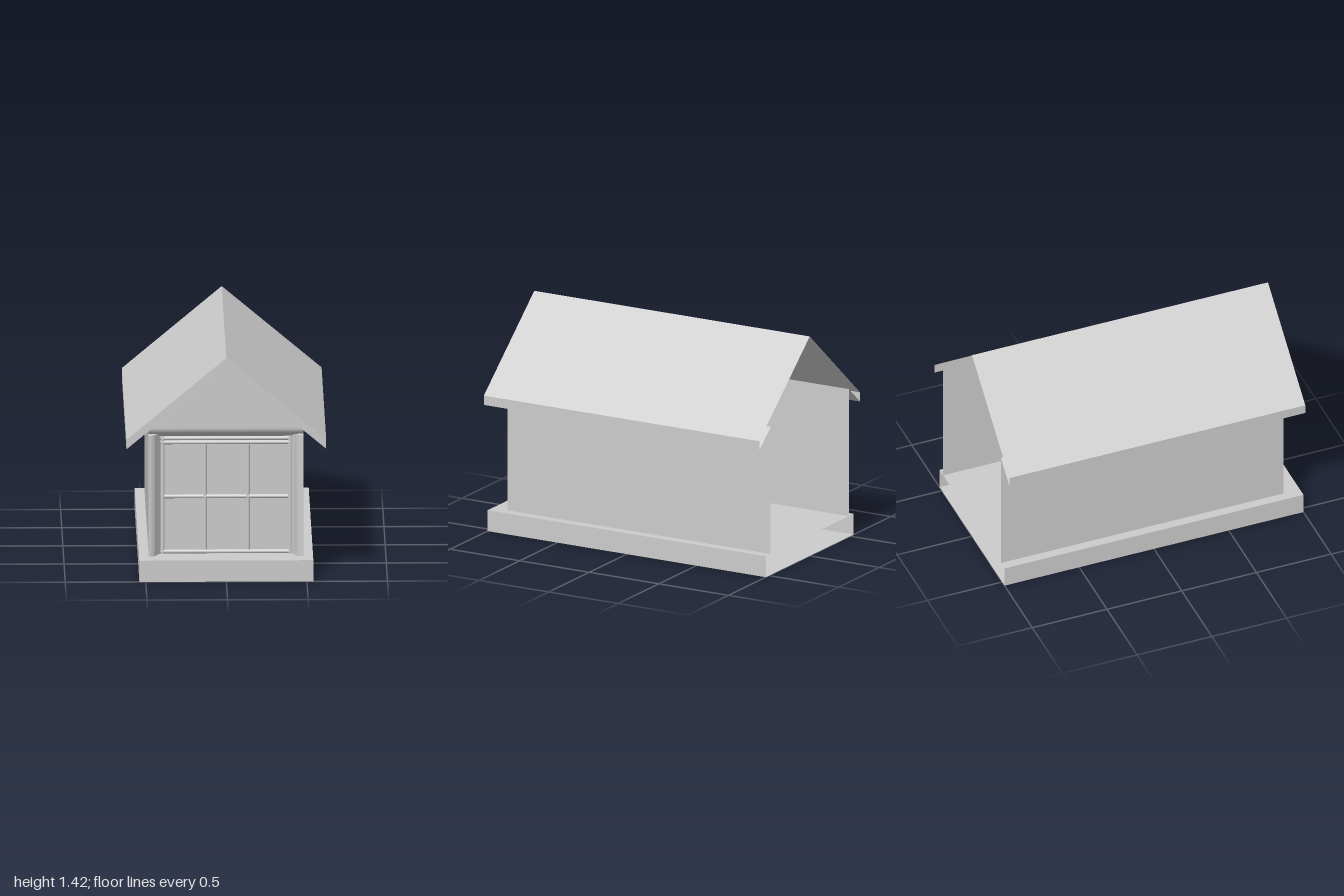
import * as THREE from 'three';

const BACK = -1, WALL = 0.89, ROOF = 0.98, RECESS = 0.84, PANE = 0.8;
const mat = new THREE.MeshStandardMaterial({ color: 0xcccccc, side: THREE.DoubleSide });

export function createModel() {
  const model = new THREE.Group();
  model.name = 'dormer';

  const add = (name, geometry, x = 0, y = 0, z = 0, parent = model) => {
    const mesh = new THREE.Mesh(geometry, mat);
    mesh.name = name;
    mesh.position.set(x, y, z);
    parent.add(mesh);
    return mesh;
  };

  // Flat panels from quads, corners counter-clockwise seen from outside
  const panels = (name, quads) => {
    const pos = [];
    for (const [a, b, c, d] of quads) pos.push(...a, ...b, ...c, ...a, ...c, ...d);
    const g = new THREE.BufferGeometry();
    g.setAttribute('position', new THREE.Float32BufferAttribute(pos, 3));
    g.computeVertexNormals();
    return add(name, g);
  };

  // Ribbon running along z under or over a cross-section
  const ribbon = (name, pts, z0, z1) => panels(name, pts.slice(1).map(([x, y], i) => {
    const [px, py] = pts[i];
    return [[px, py, z1], [x, y, z1], [x, y, z0], [px, py, z0]];
  }));

  const flat = (name, pts, z) =>
    add(name, new THREE.ShapeGeometry(new THREE.Shape(pts.map(p => new THREE.Vector2(...p)))), 0, 0, z);

  // Plinth, open at the back
  ribbon('plinth', [[-0.54, 0], [0.54, 0], [0.54, 0.135], [-0.54, 0.135], [-0.54, 0]], BACK, 1);
  flat('plinthFront', [[-0.54, 0], [0.54, 0], [0.54, 0.135], [-0.54, 0.135]], 1);

  // Side walls
  ribbon('leftWall', [[0.48, 0.135], [0.48, 0.957]], BACK, WALL);
  ribbon('rightWall', [[-0.48, 0.957], [-0.48, 0.135]], BACK, WALL);

  // Roof slopes with fascias and soffits, open at the back
  ribbon('roof', [[0.48, 0.957], [0.62, 0.84], [0.62, 0.9], [0, 1.42],
    [-0.62, 0.9], [-0.62, 0.84], [-0.48, 0.957]], BACK, ROOF);
  ribbon('roofOverhangUnderside', [[-0.48, 0.957], [0, 1.36], [0.48, 0.957]], WALL, ROOF);
  flat('bargeboard', [[0.62, 0.84], [0.62, 0.9], [0, 1.42], [-0.62, 0.9], [-0.62, 0.84], [0, 1.36]], ROOF);

  // Gable with a rounded lower edge
  flat('gable', [[-0.48, 0.955], [0.48, 0.955], [0, 1.36]], WALL);
  const lintel = new THREE.CylinderGeometry(0.05, 0.05, 0.96, 16, 1, true, 0, Math.PI / 2);
  lintel.rotateZ(-Math.PI / 2);
  add('lintel', lintel, 0, 0.955, RECESS);

  // Rounded posts either side of the opening
  for (const s of [1, -1]) {
    const post = new THREE.CylinderGeometry(0.05, 0.05, 0.77, 16, 1, false,
      s > 0 ? -Math.PI / 2 : 0, Math.PI / 2);
    add(s > 0 ? 'leftPost' : 'rightPost', post, s * 0.48, 0.52, RECESS);
  }

  // Splayed reveal between the posts and the window
  panels('reveal', [
    [[-0.43, 0.135, RECESS], [-0.405, 0.135, PANE], [-0.405, 0.882, PANE], [-0.43, 0.905, RECESS]],
    [[0.405, 0.135, PANE], [0.43, 0.135, RECESS], [0.43, 0.905, RECESS], [0.405, 0.882, PANE]],
    [[-0.405, 0.882, PANE], [0.405, 0.882, PANE], [0.43, 0.905, RECESS], [-0.43, 0.905, RECESS]],
  ]);

  // Window pane with half-round frame and glazing bars
  const win = new THREE.Group();
  win.name = 'window';
  model.add(win);
  add('pane', new THREE.PlaneGeometry(0.81, 0.747), 0, 0.5085, PANE, win);
  const bar = (name, x, y, length, horizontal) => {
    const g = new THREE.CylinderGeometry(0.0125, 0.0125, length, 12, 1, false, -Math.PI / 2, Math.PI);
    if (horizontal) g.rotateZ(Math.PI / 2);
    add(name, g, x, y, PANE, win);
  };
  for (const x of [-0.393, 0.397]) bar('stile', x, 0.5085, 0.747, false);
  for (const y of [0.148, 0.843, 0.869]) bar('rail', 0, y, 0.81, true);
  for (const x of [-0.131, 0.136]) bar('verticalBar', x, 0.4955, 0.67, false);
  bar('crossBar', 0, 0.499, 0.77, true);

  return model;
}
